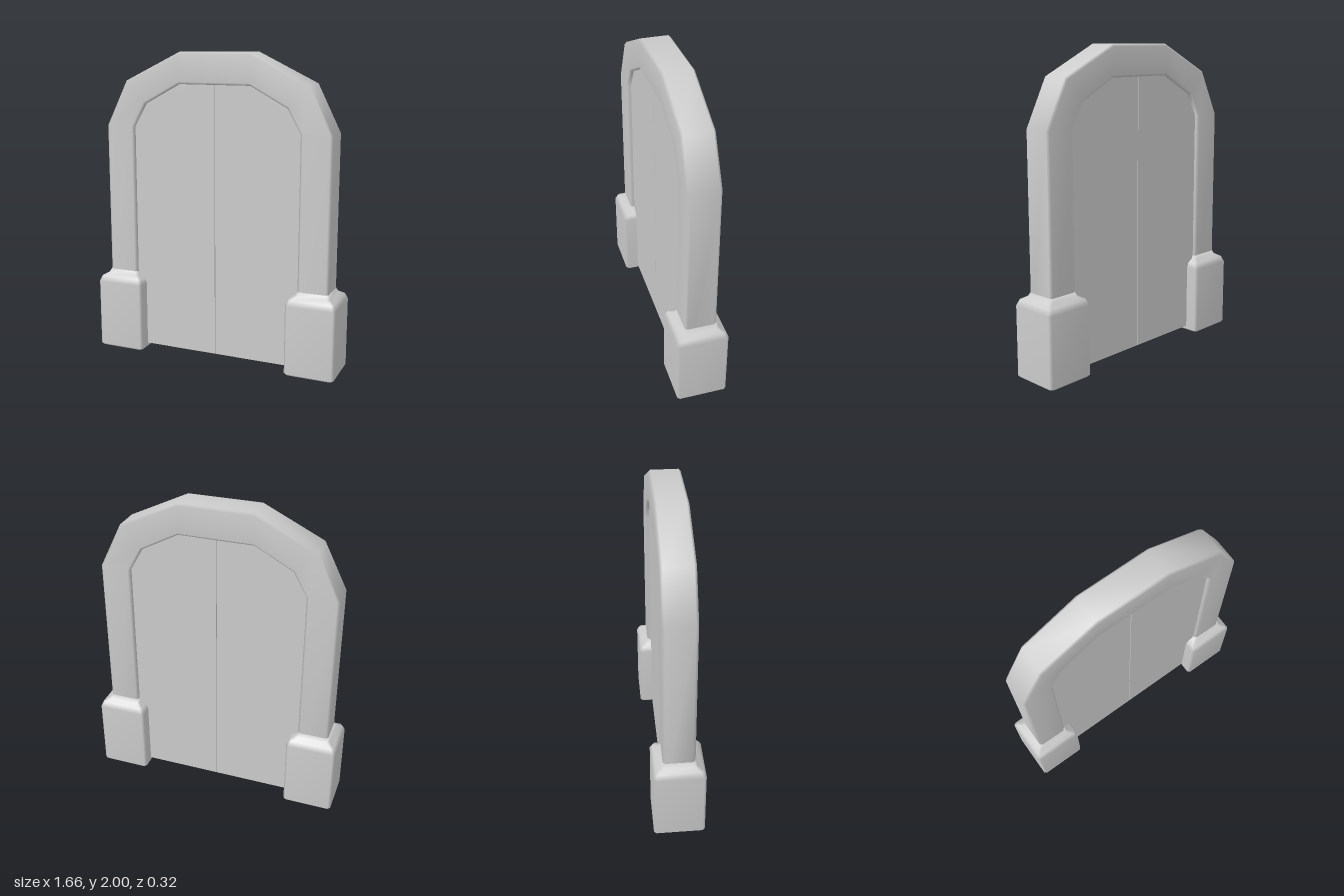
import * as THREE from 'three';

const material = new THREE.MeshStandardMaterial({ color: 0xcccccc });

// Square with chamfered corners, counter-clockwise, half-size h, chamfer c
function chamferedSquare(h, c) {
  const k = h - c;
  return [[h, -k], [h, k], [k, h], [-k, h], [-h, k], [-h, -k], [-k, -h], [k, -h]];
}

// Smooth skin over a list of equal-length rings, capped at both ends
function skin(rings) {
  const n = rings[0].length, last = (rings.length - 1) * n, index = [];
  for (let i = 0; i < rings.length - 1; i++) {
    for (let j = 0; j < n; j++) {
      const a = i * n + j, b = i * n + (j + 1) % n;
      index.push(a, b, b + n, a, b + n, a + n);
    }
  }
  for (let j = 1; j < n - 1; j++) {
    index.push(0, j + 1, j, last, last + j, last + j + 1);
  }
  const geometry = new THREE.BufferGeometry();
  geometry.setAttribute('position', new THREE.Float32BufferAttribute(rings.flat(2), 3));
  geometry.setIndex(index);
  geometry.computeVertexNormals();
  return geometry;
}

function addMesh(group, name, geometry) {
  const mesh = new THREE.Mesh(geometry, material);
  mesh.name = name;
  group.add(mesh);
  return mesh;
}

export function createModel() {
  const group = new THREE.Group();
  group.name = 'archedDoor';

  // Arch frame: outer and inner outline points on the +x half, mirrored to -x
  const half = [
    { outer: [0.765, 0.3], inner: [0.565, 0.3] },
    { outer: [0.765, 1.52], inner: [0.565, 1.52] },
    { outer: [0.617, 1.815], inner: [0.48, 1.67] },
    { outer: [0.235, 2.0], inner: [0.24, 1.8] },
  ];
  const flip = ([x, y]) => [-x, y];
  const stations = [
    ...half,
    ...half.map((s) => ({ outer: flip(s.outer), inner: flip(s.inner) })).reverse(),
  ];
  const section = chamferedSquare(0.1, 0.015);
  const archRings = stations.map(({ outer, inner }) => section.map(([u, w]) => {
    const t = (u + 0.1) / 0.2;
    return [
      THREE.MathUtils.lerp(inner[0], outer[0], t),
      THREE.MathUtils.lerp(inner[1], outer[1], t),
      -w,
    ];
  }));
  addMesh(group, 'archFrame', skin(archRings));

  // Foot blocks: [height, half-size], with a shoulder narrowing to the post
  const levels = [[0, 0.152], [0.012, 0.162], [0.46, 0.162], [0.495, 0.147], [0.515, 0.112], [0.54, 0.1]];
  const footGeometry = skin(levels.map(([y, h]) =>
    chamferedSquare(h, 0.015).map(([x, w]) => [x, y, -w])));
  for (const [name, x] of [['leftFoot', 0.667], ['rightFoot', -0.667]]) {
    addMesh(group, name, footGeometry).position.x = x;
  }

  // Two door leaves meeting at the centre, edges tucked into the frame
  const depth = 0.15;
  for (const [name, s] of [['leftDoorLeaf', 1], ['rightDoorLeaf', -1]]) {
    const outline = [[0.002, 0.03], [0.59, 0.03], [0.59, 1.53], [0.5, 1.69], [0.24, 1.83], [0.002, 1.83]];
    const shape = new THREE.Shape(outline.map(([x, y]) => new THREE.Vector2(s * x, y)));
    const geometry = new THREE.ExtrudeGeometry(shape, { depth, bevelEnabled: false });
    geometry.translate(0, 0, -depth / 2);
    addMesh(group, name, geometry);
  }

  return group;
}
